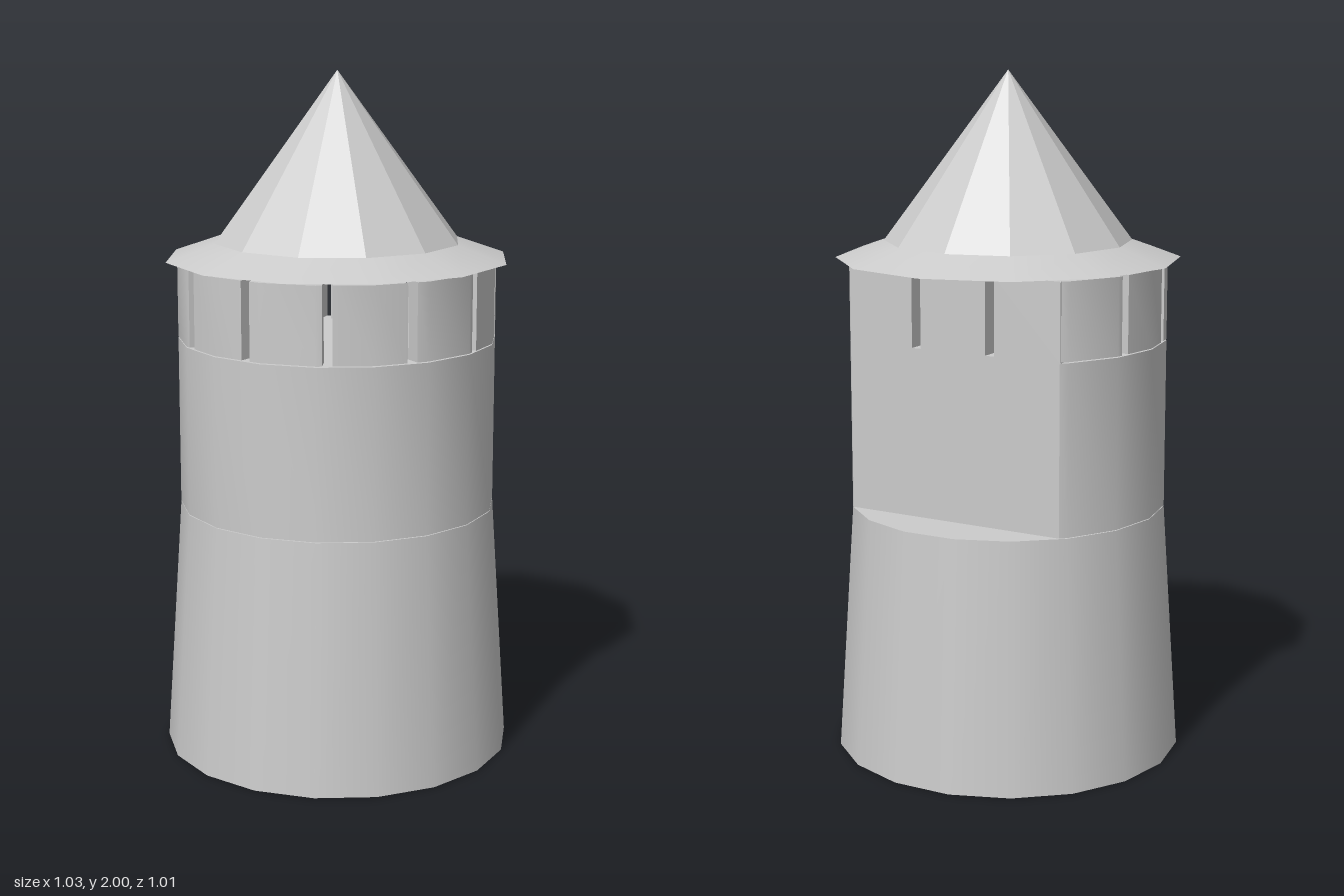
import * as THREE from 'three';
import { toCreasedNormals } from 'three/addons/utils/BufferGeometryUtils.js';

const DEG = Math.PI / 180;
const R = 0.464, WALL = 0.05, BACK = 0.31, SIDES = 18, TURN = 1;
const STEP = 360 / SIDES;
const grey = new THREE.MeshStandardMaterial({ color: 0xcccccc, side: THREE.DoubleSide });
const faceted = new THREE.MeshStandardMaterial({ color: 0xcccccc, side: THREE.DoubleSide, flatShading: true });

// Point on the 18-sided rim at an angle in degrees (plan view, +y is the back)
function rim(deg, radius) {
  const local = (((deg - TURN) % STEP) + STEP) % STEP - STEP / 2;
  const r = radius * Math.cos(STEP / 2 * DEG) / Math.cos(local * DEG);
  return new THREE.Vector2(r * Math.cos(deg * DEG), r * Math.sin(deg * DEG));
}

// Rim points between two angles, including the polygon corners
function arc(from, to, radius) {
  const angles = [from];
  for (let a = Math.ceil((from - TURN) / STEP) * STEP + TURN; a < to; a += STEP) {
    if (a > from + 0.1 && a < to - 0.1) angles.push(a);
  }
  angles.push(to);
  return angles.map((a) => rim(a, radius));
}

// Extrude a plan outline upwards from y0 to y1
function prism(name, points, y0, y1) {
  const geo = new THREE.ExtrudeGeometry(new THREE.Shape(points), { depth: y1 - y0, bevelEnabled: false });
  geo.rotateX(-Math.PI / 2).translate(0, y0, 0);
  const mesh = new THREE.Mesh(toCreasedNormals(geo, 25 * DEG), grey);
  mesh.name = name;
  return mesh;
}

export function createModel() {
  const tower = new THREE.Group();
  tower.name = 'tower';
  const add = (name, geo, material, y, turn, parent = tower) => {
    const mesh = new THREE.Mesh(geo, material);
    mesh.name = name;
    mesh.position.y = y;
    mesh.rotation.y = turn * DEG;
    parent.add(mesh);
  };

  // Tapered base, open below, with a ledge on top
  add('base', new THREE.CylinderGeometry(R, 0.513, 0.735, SIDES, 1, true), grey, 0.3675, 90 + TURN);
  add('ledge', new THREE.CircleGeometry(R, SIDES).rotateX(-Math.PI / 2), grey, 0.735, TURN);

  // Upper drum, cut flat at the back
  const cut = Math.acos(BACK / R) / DEG;
  const left = 90 - cut, right = 90 + cut;
  const outline = arc(right, 360 + left, R);
  outline[0].y = outline[outline.length - 1].y = BACK;
  tower.add(prism('upperDrum', outline, 0.737, 1.23));

  // Parapet wall with narrow slits every 30 degrees
  const parapet = new THREE.Group();
  parapet.name = 'parapet';
  const gap = 1.8;
  const spans = [[right, 165 - gap], [15 + gap, left]];
  for (let a = 165; a < 375; a += 30) spans.push([a + gap, a + 30 - gap]);
  for (const [from, to] of spans) {
    const inner = arc(from, to, R - WALL).reverse();
    parapet.add(prism('parapetPanel', [...arc(from, to, R), ...inner], 1.233, 1.455));
  }
  // Flat back of the parapet
  const edge = outline[outline.length - 1].x;
  for (const [x0, x1] of [[-edge, -0.135], [-0.106, 0.106], [0.135, edge]]) {
    const corners = [[x0, BACK - WALL], [x1, BACK - WALL], [x1, BACK], [x0, BACK]];
    parapet.add(prism('parapetBack', corners.map((c) => new THREE.Vector2(...c)), 1.23, 1.455));
  }
  tower.add(parapet);

  // Twelve-sided roof: shallow eave below a steep cone
  const roof = new THREE.Group();
  roof.name = 'roof';
  add('eave', new THREE.CylinderGeometry(0.36, 0.502, 0.05, 12, 1, true), grey, 1.488, TURN, roof);
  add('eaveUnderside', new THREE.CircleGeometry(0.502, 12).rotateX(Math.PI / 2), grey, 1.463, TURN, roof);
  add('spire', new THREE.ConeGeometry(0.36, 0.487, 12, 1, true), faceted, 1.7565, TURN, roof);
  tower.add(roof);

  return tower;
}
